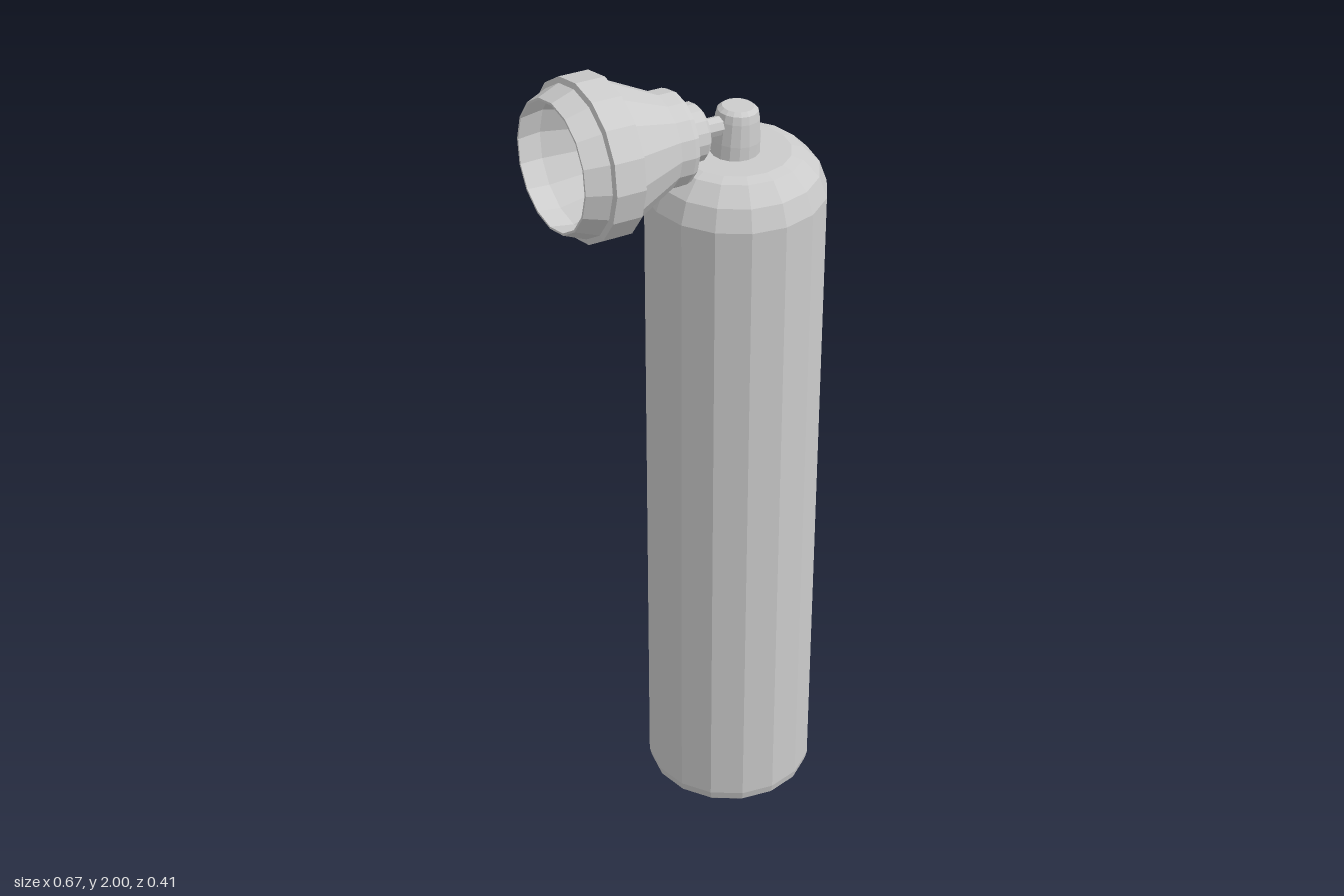
import * as THREE from 'three';

const material = new THREE.MeshStandardMaterial({
  color: 0xcccccc, flatShading: true, side: THREE.DoubleSide,
});

// Faceted turned part from [radius, height] pairs
function turned(name, profile, sides = 16) {
  const points = profile.map(([r, y]) => new THREE.Vector2(r, y));
  const mesh = new THREE.Mesh(new THREE.LatheGeometry(points, sides), material);
  mesh.name = name;
  return mesh;
}

export function createModel() {
  const model = new THREE.Group();
  model.name = 'gasCylinderWithHorn';
  const tankX = 0.13;
  const tilt = 0.045;

  // Tall tank with a rounded shoulder and a small bottom bevel
  const tank = turned('tank', [
    [0, 0], [0.19, 0], [0.198, 0.008], [0.203, 0.03], [0.203, 1.64],
    [0.185, 1.69], [0.148, 1.728], [0.122, 1.735], [0, 1.735],
  ]);
  tank.position.x = tankX;

  // Slightly leaning valve post
  const post = turned('valvePost', [
    [0.055, -0.02], [0.054, 0.03], [0.049, 0.08], [0.045, 0.098],
    [0.035, 0.106], [0, 0.106],
  ]);
  post.position.set(tankX - 0.003, 1.735, 0);
  post.rotation.z = -0.06;

  // Horn assembly: its own y axis runs from the valve out to the mouth
  const hornAssembly = new THREE.Group();
  hornAssembly.name = 'hornAssembly';
  hornAssembly.position.set(0.03, 1.808, 0);
  hornAssembly.rotation.z = Math.PI / 2 - tilt;

  // Thin pipe joining horn and post
  const pipe = turned('connectingPipe', [[0.022, -0.09], [0.022, 0.01]], 8);

  // Bevelled collar at the back of the horn
  const collar = turned('collar', [
    [0, 0], [0.058, 0], [0.066, 0.009], [0.066, 0.042], [0.06, 0.052],
  ]);

  // Horn: neck flange, flared cone, raised band, rim and hollow inside
  const horn = turned('horn', [
    [0, 0.05], [0.09, 0.05], [0.103, 0.056], [0.107, 0.068], [0.107, 0.102],
    [0.166, 0.23], [0.179, 0.232], [0.179, 0.302], [0.166, 0.305],
    [0.146, 0.357], [0.141, 0.357], [0.15, 0.3], [0.095, 0.11], [0, 0.11],
  ]);

  hornAssembly.add(pipe, collar, horn);
  model.add(tank, post, hornAssembly);
  return model;
}
